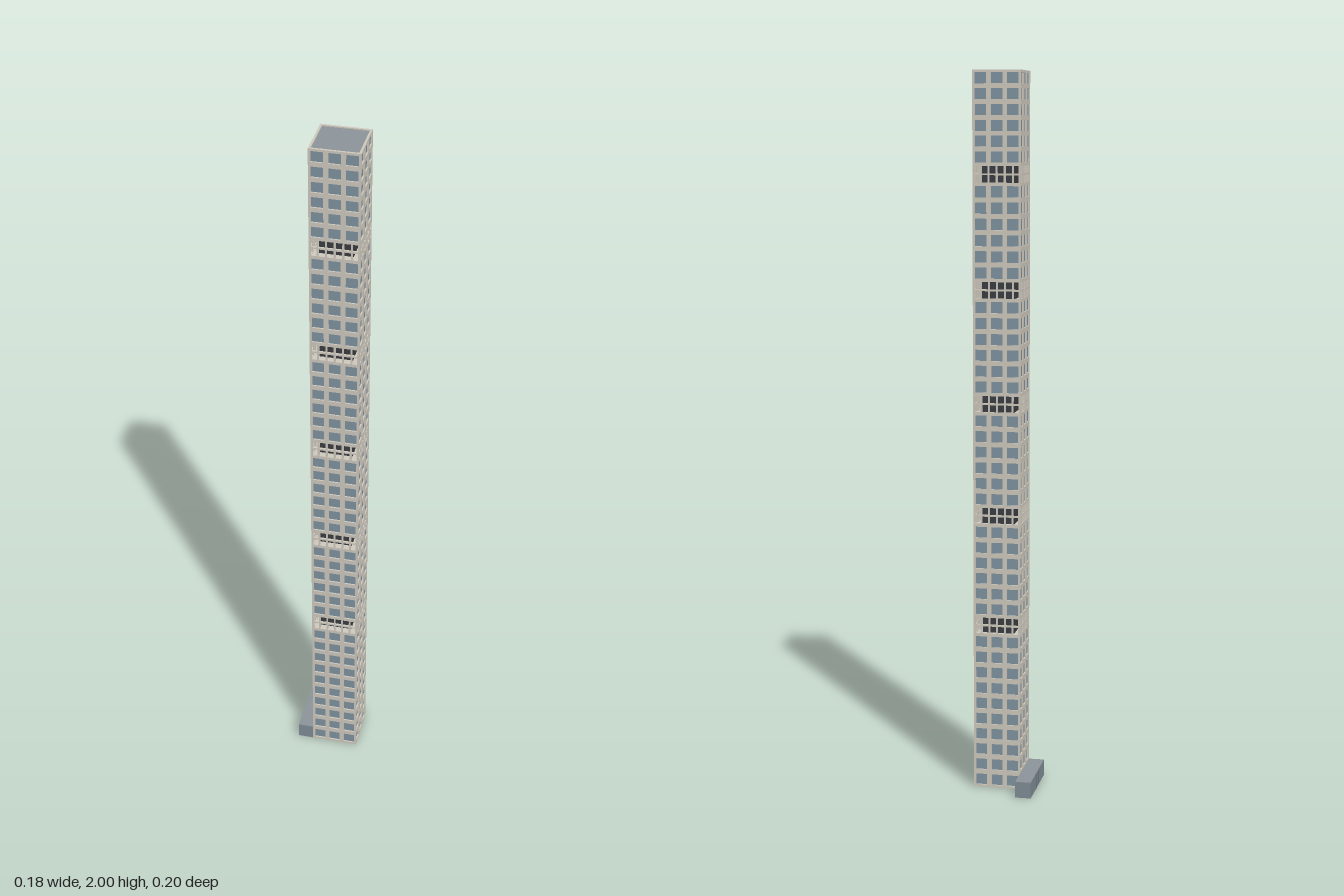
import * as THREE from 'three';

const mat = (color, side = THREE.FrontSide) => new THREE.MeshStandardMaterial({ color, side, flatShading: true });
const STONE = mat(0xd0cbbf), GLASS = mat(0x8094a2, THREE.DoubleSide), ROOF = mat(0x8c959b);
const DARK = mat(0x3a3d42), LINING = mat(0xd3c7b6, THREE.DoubleSide), ANNEX = mat(0x808d96), SEAM = mat(0x5f6a72);

const W = 0.133, T = 0.006;          // tower width, facade thickness
const CX = 0.0215, CZ = 0.0345;      // tower centre

function box(parent, name, material, size, pos) {
  const m = new THREE.Mesh(new THREE.BoxGeometry(...size), material);
  m.position.set(...pos);
  m.name = name;
  parent.add(m);
  return m;
}

// Wall panel with a regular grid of openings, standing on y = 0
function gridPanel(h, cols, rows, fx, fy) {
  const s = new THREE.Shape([[-W / 2, 0], [W / 2, 0], [W / 2, h], [-W / 2, h]].map(p => new THREE.Vector2(...p)));
  const px = W / cols, py = h / rows, hw = px * fx / 2, hh = py * fy / 2;
  for (let i = 0; i < cols; i++) for (let j = 0; j < rows; j++) {
    const x = -W / 2 + (i + 0.5) * px, y = (j + 0.5) * py;
    s.holes.push(new THREE.Path([[x - hw, y - hh], [x - hw, y + hh], [x + hw, y + hh], [x + hw, y - hh]]
      .map(p => new THREE.Vector2(...p))));
  }
  return new THREE.ExtrudeGeometry(s, { depth: T, bevelEnabled: false }).translate(0, 0, W / 2 - T);
}

// The same panel on all four sides
function ring(parent, name, geo, y) {
  for (let k = 0; k < 4; k++) {
    const m = new THREE.Mesh(geo, STONE);
    m.rotation.y = k * Math.PI / 2;
    m.position.y = y;
    m.name = name;
    parent.add(m);
  }
}

// Square tube without ends
function tube(parent, name, material, width, h, y) {
  const g = new THREE.CylinderGeometry(width / Math.SQRT2, width / Math.SQRT2, h, 4, 1, true).rotateY(Math.PI / 4);
  const m = new THREE.Mesh(g, material);
  m.position.y = y + h / 2;
  m.name = name;
  parent.add(m);
}

function createTower() {
  const tower = new THREE.Group();
  tower.name = 'tower';
  tower.position.set(CX, 0, CZ);
  const bandH = 0.05, period = 0.313, first = 0.446;

  // Window storeys between the open bands
  for (let i = 0; i <= 5; i++) {
    const y0 = i === 0 ? 0 : first + (i - 1) * period + bandH;
    const y1 = i === 5 ? 2 : first + i * period;
    const h = y1 - y0;
    ring(tower, 'facade', gridPanel(h, 3, i === 0 ? 10 : 6, 0.72, 0.7), y0);
    const glassH = h - 0.004;
    tube(tower, 'windowGlass', GLASS, W - 2 * T + 0.004, glassH, y0 + 0.001);
    if (i === 0) tube(tower, 'innerLining', LINING, W - 2 * T - 0.002, glassH, y0);
    if (i > 0) box(tower, 'floorSlab', STONE, [W - T, 0.003, W - T], [0, y0 + 0.0015, 0]);
    if (i < 5) box(tower, 'ceilingSlab', STONE, [W - T, 0.003, W - T], [0, y1 - 0.0015, 0]);
  }

  // Open mechanical bands: a lattice around a dark core
  const lattice = gridPanel(bandH, 6, 2, 0.8, 0.8);
  for (let i = 0; i < 5; i++) {
    const y = first + i * period;
    ring(tower, 'openBandLattice', lattice, y);
    box(tower, 'bandCore', DARK, [0.09, bandH, 0.09], [0, y + bandH / 2, 0]);
  }

  // Roof just below the parapet
  box(tower, 'roof', ROOF, [W - 2 * T, 0.004, W - 2 * T], [0, 1.995, 0]);
  return tower;
}

function createAnnex() {
  const annex = new THREE.Group();
  annex.name = 'annex';
  const x0 = -0.089, x1 = -0.045, z0 = -0.102, z1 = 0.101, h = 0.046, t = 0.002;
  const w = x1 - x0, d = z1 - z0, cx = (x0 + x1) / 2, cz = (z0 + z1) / 2;
  box(annex, 'annexRoof', ROOF, [w, t, d], [cx, h - t / 2, cz]);
  box(annex, 'annexSideWall', ANNEX, [t, h - t, d], [x0 + t / 2, (h - t) / 2, cz]);
  box(annex, 'annexPartyWall', LINING, [t, h - t, d - 2 * t], [x1 - t / 2, (h - t) / 2, cz]);
  for (const z of [z0 + t / 2, z1 - t / 2])
    box(annex, 'annexEndWall', ANNEX, [w - t, h - t, t], [cx + t / 2, (h - t) / 2, z]);

  // Pale inner faces, seen through the open underside
  box(annex, 'annexSideLining', LINING, [0.0005, h - t, d - 2 * t], [x0 + t + 0.0003, (h - t) / 2, cz]);
  box(annex, 'annexCeiling', LINING, [w - 2 * t, 0.0005, d - 2 * t], [cx, h - t - 0.0003, cz]);

  // Seams dividing the long wall into bays
  for (let i = 1; i < 5; i++)
    box(annex, 'annexSeam', SEAM, [0.001, h - t, 0.0015], [x0, (h - t) / 2, z0 + d * i / 5]);
  return annex;
}

export function createModel() {
  const model = new THREE.Group();
  model.name = 'skyscraper';
  model.add(createTower(), createAnnex());
  return model;
}
